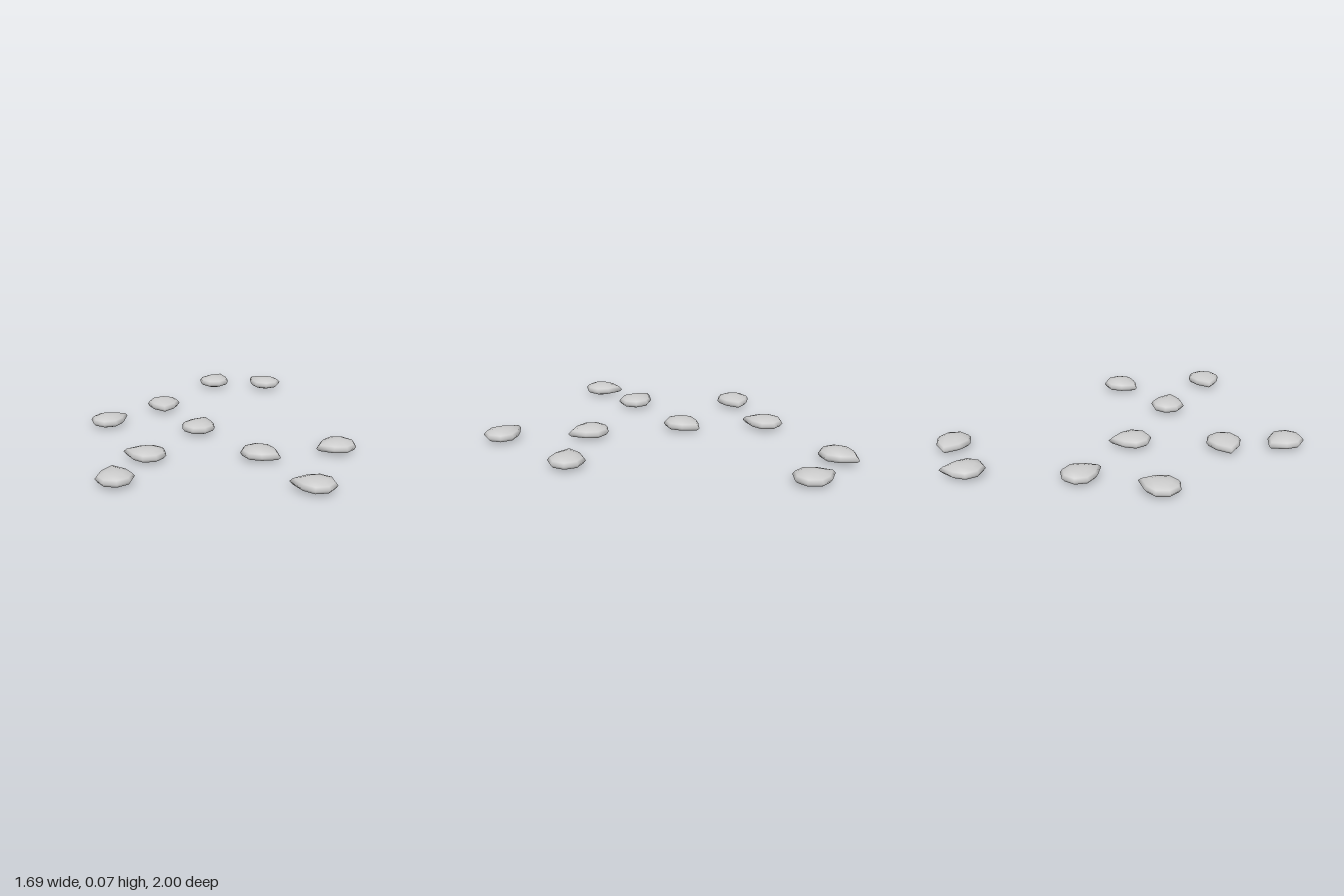
import * as THREE from 'three';

const RADIUS = 0.1;
const HALF_HEIGHT = 0.035;

// Teardrop seed: a low, flattened sphere with its +x meridian drawn out to a point
function seedGeometry(tipLength) {
  const geo = new THREE.SphereGeometry(1, 8, 6);
  const pos = geo.attributes.position;
  for (let i = 0; i < pos.count; i++) {
    const x = pos.getX(i), z = pos.getZ(i);
    const onTip = x > 0.1 && Math.abs(z) < 1e-4;
    const reach = onTip ? tipLength : RADIUS;
    pos.setXYZ(i, x * reach, pos.getY(i) * HALF_HEIGHT, z * RADIUS);
  }
  // Average normals, then close the shading across the sphere's seam
  geo.computeVertexNormals();
  const n = geo.attributes.normal;
  const sums = new Map();
  const key = i => [pos.getX(i), pos.getY(i), pos.getZ(i)].map(v => Math.round(v * 1e4) + 0).join();
  const v = new THREE.Vector3();
  for (let i = 0; i < pos.count; i++) {
    const k = key(i);
    if (!sums.has(k)) sums.set(k, new THREE.Vector3());
    sums.get(k).add(v.fromBufferAttribute(n, i));
  }
  for (let i = 0; i < pos.count; i++) {
    v.copy(sums.get(key(i))).normalize();
    n.setXYZ(i, v.x, v.y, v.z);
  }
  return geo;
}

// Each seed: centre x, centre z, then the offset of its tip in x and z
const SEEDS = [
  [0.455, -0.905, 0.105, -0.095],
  [0.75, -0.714, -0.048, -0.127],
  [-0.056, -0.608, -0.048, 0.127],
  [-0.48, -0.466, 0.134, -0.026],
  [-0.053, -0.116, 0.1, -0.1],
  [-0.479, 0.148, -0.106, -0.09],
  [-0.751, 0.368, 0.034, -0.134],
  [0.055, 0.394, 0.062, 0.128],
  [0.495, 0.503, -0.138, -0.008],
  [0.098, 0.892, -0.106, -0.092],
];

export function createModel() {
  const group = new THREE.Group();
  group.name = 'scatteredSeeds';
  const material = new THREE.MeshStandardMaterial({ color: 0xcccccc });

  SEEDS.forEach(([x, z, dx, dz], i) => {
    const seed = new THREE.Mesh(seedGeometry(Math.hypot(dx, dz)), material);
    seed.name = `seed${i + 1}`;
    seed.position.set(x, HALF_HEIGHT, z);
    seed.rotation.y = Math.atan2(-dz, dx);
    group.add(seed);
  });
  return group;
}
